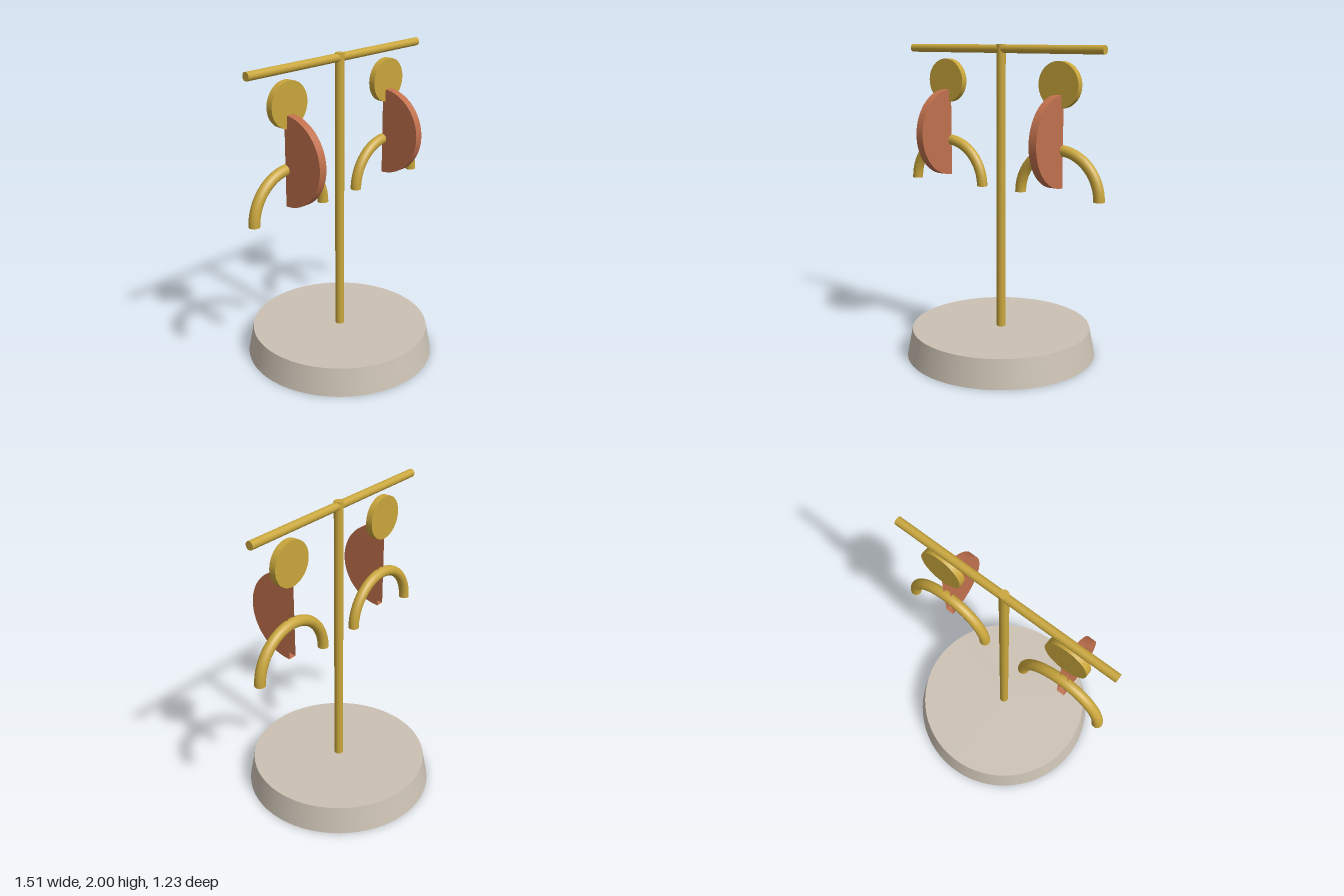
import * as THREE from 'three';

export function createModel() {
  const material = (name, color) => {
    const m = new THREE.MeshStandardMaterial({ color, side: THREE.DoubleSide });
    m.name = name;
    return m;
  };
  const brass = material('brass', 0xc9a63c);
  const copper = material('copper', 0xc0704d);
  const stone = material('stone', 0xcbc1b3);

  const add = (parent, name, geometry, mat, x, y, z) => {
    const mesh = new THREE.Mesh(geometry, mat);
    mesh.name = name;
    mesh.position.set(x, y, z);
    parent.add(mesh);
    return mesh;
  };

  const model = new THREE.Group();
  model.name = 'earringStand';

  // Tapered base, post and crossbar
  add(model, 'base', new THREE.CylinderGeometry(0.58, 0.615, 0.18, 64), stone, 0, 0.09, 0);
  add(model, 'post', new THREE.CylinderGeometry(0.029, 0.029, 1.82, 32), brass, 0, 1.09, 0);
  const bar = new THREE.CylinderGeometry(0.026, 0.026, 1.476, 32).rotateZ(Math.PI / 2);
  add(model, 'crossbar', bar, brass, 0, 1.972, 0);

  // Each earring: round stud, open-backed half disc, and arch
  const stud = new THREE.CylinderGeometry(0.14, 0.14, 0.043, 48).rotateX(Math.PI / 2);
  const halfDisc = new THREE.CylinderGeometry(0.28, 0.28, 0.053, 48, 1, false, 0, Math.PI)
    .rotateZ(Math.PI / 2) // axis along x
    .rotateX(0);
  // Turn the curved side to face forward
  halfDisc.computeBoundingBox();
  const c = halfDisc.boundingBox.getCenter(new THREE.Vector3());
  halfDisc.rotateX(Math.atan2(c.y, c.z));
  const arch = new THREE.TorusGeometry(0.283, 0.034, 24, 48, Math.PI);

  for (const [side, x] of [['left', 0.437], ['right', -0.437]]) {
    const earring = new THREE.Group();
    earring.name = side + 'Earring';
    earring.position.x = x;
    add(earring, 'stud', stud, brass, 0, 1.766, 0);
    add(earring, 'halfDisc', halfDisc, copper, 0, 1.43, 0);
    add(earring, 'arch', arch, brass, 0, 1.096, 0);
    model.add(earring);
  }
  return model;
}
